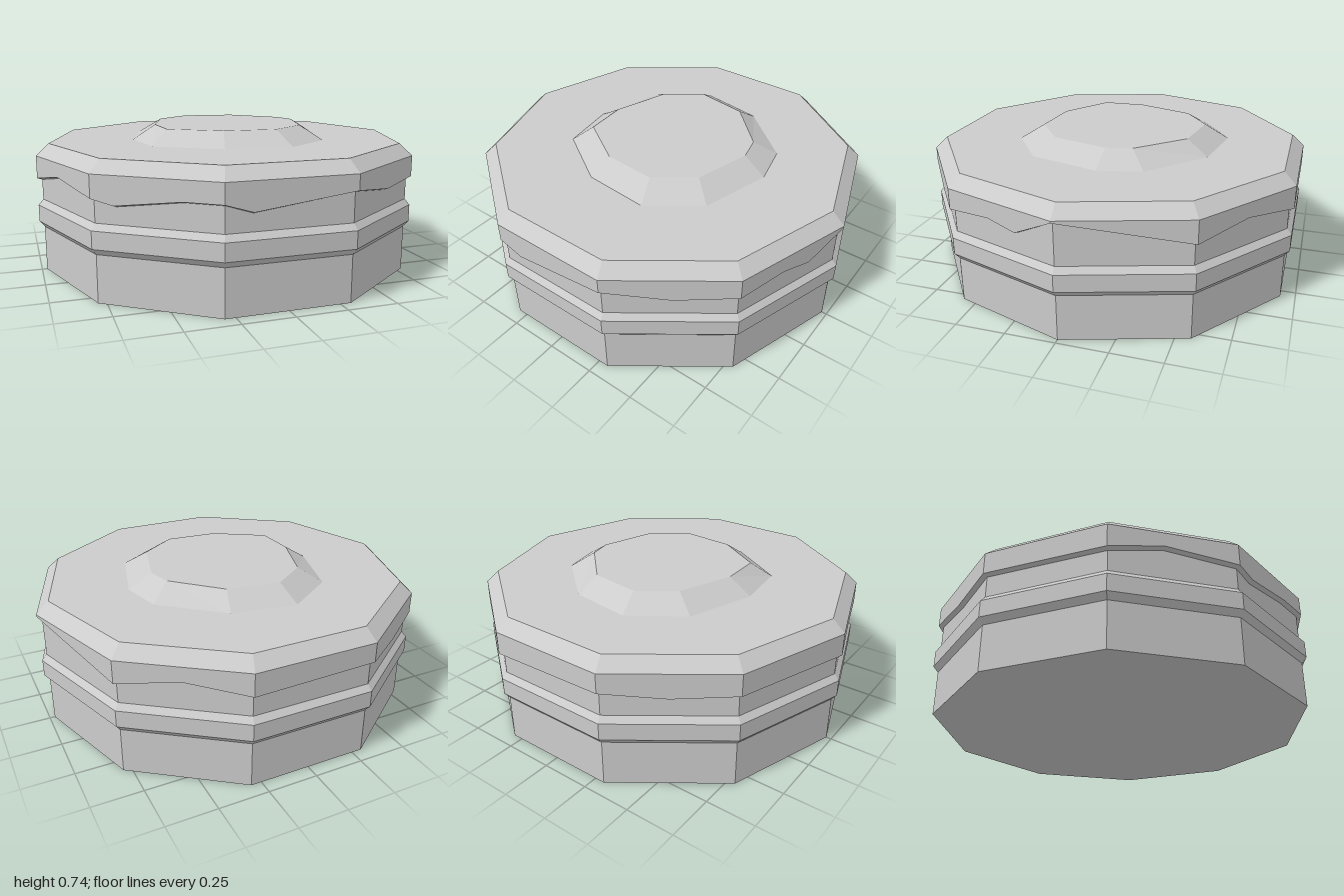
import * as THREE from 'three';

const material = new THREE.MeshStandardMaterial({ color: 0xcccccc, flatShading: true });
const SIDES = 10;

// Point on a ten-sided ring; k counts corners from +x towards +z
function ringPoint(k, r, y) {
  const corner = (n) => (n / SIDES) * Math.PI * 2;
  const i = Math.floor(k), t = k - i;
  const mix = (f) => r * (f(corner(i)) * (1 - t) + f(corner(i + 1)) * t);
  return [mix(Math.cos), y, mix(Math.sin)];
}

// Skin rings from bottom to top, then close the top with a fan
function loft(name, rings) {
  const out = [];
  const n = rings[0].length;
  for (let j = 0; j < n; j++) {
    const m = (j + 1) % n;
    for (let i = 0; i < rings.length - 1; i++) {
      const a = rings[i][j], b = rings[i][m], c = rings[i + 1][m], d = rings[i + 1][j];
      out.push(...a, ...d, ...c, ...a, ...c, ...b);
    }
    const top = rings[rings.length - 1];
    out.push(0, top[0][1], 0, ...top[m], ...top[j]);
  }
  const g = new THREE.BufferGeometry();
  g.setAttribute('position', new THREE.Float32BufferAttribute(out, 3));
  g.computeVertexNormals();
  const mesh = new THREE.Mesh(g, material);
  mesh.name = name;
  return mesh;
}

export function createModel() {
  const group = new THREE.Group();
  group.name = 'layeredCake';

  // Body with a raised filling band around the middle
  const profile = [[0, 0], [0.975, 0], [0.975, 0.23], [1, 0.26], [1, 0.345], [0.975, 0.375], [0.975, 0.62]];
  const bodyGeo = new THREE.LatheGeometry(
    profile.map(([r, y]) => new THREE.Vector2(r, y)), SIDES, Math.PI / 2).toNonIndexed();
  bodyGeo.computeVertexNormals();
  const body = new THREE.Mesh(bodyGeo, material);
  body.name = 'body';
  group.add(body);

  // Icing with an uneven dripping lower edge: [corner position, height]
  const drip = [
    [0, 0.59], [0.34, 0.487], [0.6, 0.515], [1, 0.495], [1.48, 0.48], [2, 0.525],
    [2.79, 0.465], [3, 0.505], [3.3, 0.505], [3.82, 0.465], [4, 0.49], [4.58, 0.53],
    [5, 0.485], [6, 0.49], [6.5, 0.475], [7, 0.5], [8, 0.485], [8.5, 0.525], [9, 0.485],
  ];
  group.add(loft('icing', [
    drip.map(([k, y]) => ringPoint(k, 0.975, y - 0.008)),
    drip.map(([k, y]) => ringPoint(k, 1, y)),
    drip.map(([k]) => ringPoint(k, 1, 0.6)),
    drip.map(([k]) => ringPoint(k, 0.935, 0.66)),
  ]));

  // Irregular raised mound on top: base and crown outlines as [x, z]
  const base = [[0.54, -0.04], [0.44, 0.32], [0.19, 0.5], [-0.15, 0.47], [-0.46, 0.27],
    [-0.5, -0.02], [-0.39, -0.38], [-0.13, -0.56], [0.2, -0.51], [0.49, -0.26]];
  const crown = [[0.42, -0.05], [0.34, 0.24], [0.15, 0.38], [-0.12, 0.36], [-0.37, 0.2],
    [-0.38, -0.02], [-0.28, -0.31], [-0.1, -0.44], [0.17, -0.4], [0.39, -0.18]];
  group.add(loft('topMound', [
    base.map(([x, z]) => [x, 0.66, z]),
    crown.map(([x, z]) => [x, 0.735, z]),
  ]));

  return group;
}
